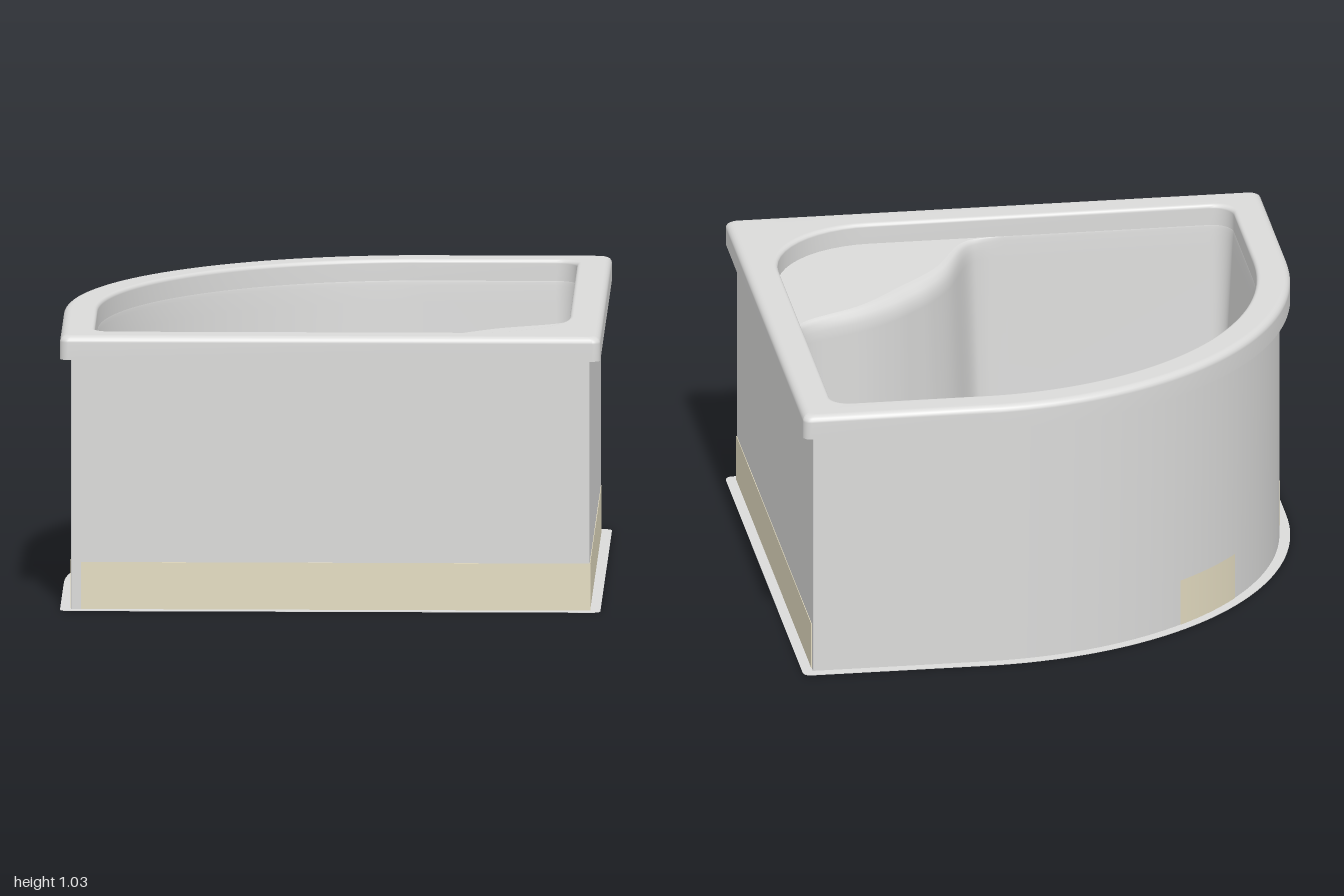
import * as THREE from 'three';

const ARC = 0.315;    // centre of the big quadrant arc, in x and z
const INNER = 0.875;  // half width of the opening
const FLOOR = 0.2, SEAT = 0.95, RIM = 1.03;

// Points [x, z] on an arc, angles in degrees from +x towards +z
function arc(cx, cz, r, a0, a1, n) {
  return Array.from({ length: n + 1 }, (_, i) => {
    const a = THREE.MathUtils.degToRad(a0 + (a1 - a0) * i / n);
    return [cx + r * Math.cos(a), cz + r * Math.sin(a)];
  });
}

// Quadrant outline of half width h; frontRight is a corner radius or ready points
function outline(h, r, frontRight = r) {
  const c = h - r;
  const corner = Array.isArray(frontRight) ? frontRight
    : arc(h - frontRight, h - frontRight, frontRight, 0, 90, 12);
  return [
    ...arc(c, -c, r, -90, 0, 8),
    ...corner,
    ...arc(-c, c, r, 90, 180, 8),
    ...arc(ARC, ARC, ARC + h, 180, 270, 40),
  ];
}

// Seat front edge, mirrored about the diagonal
const half = [[INNER, -0.04], [0.864, 0.06], [0.805, 0.135], [0.6, 0.225], [0.475, 0.31]];
const edge = [...half, [0.39, 0.39], ...half.map(([x, z]) => [z, x]).reverse()];
const seatEdge = new THREE.SplineCurve(edge.map(p => new THREE.Vector2(...p))).getPoints(60);

// Seat edge moved towards the basin: by d at its ends, by dMid in the middle
function seatLine(d, dMid) {
  const last = seatEdge.length - 1;
  return seatEdge.map((p, i) => {
    const t = i === 0 ? new THREE.Vector2(0, 1) : i === last ? new THREE.Vector2(-1, 0)
      : seatEdge[i + 1].clone().sub(seatEdge[i - 1]).normalize();
    const o = THREE.MathUtils.lerp(d, dMid, Math.sin(Math.PI * i / last) ** 2);
    return [p.x - t.y * o, p.y + t.x * o];
  });
}

// Basin outline, d from the opening along the walls and dMid along the seat
const basinLoop = (d, dMid) => outline(INNER - d, Math.max(0.08 - d, 0.02), seatLine(d, dMid));

// Smooth skin through closed loops, given as [points, y]; a repeated loop makes a crease
function loft(levels) {
  const n = levels[0][0].length, pos = [], index = [];
  for (const [pts, y] of levels) for (const [x, z] of pts) pos.push(x, y, z);
  for (let k = 0; k < levels.length - 1; k++) {
    for (let i = 0; i < n; i++) {
      const a = k * n + i, b = k * n + (i + 1) % n;
      index.push(a, a + n, b, b, a + n, b + n);
    }
  }
  const g = new THREE.BufferGeometry();
  g.setAttribute('position', new THREE.Float32BufferAttribute(pos, 3));
  g.setIndex(index);
  g.computeVertexNormals();
  return g;
}

// Flat horizontal face at height y, facing up or down
function flat(pts, y, up = true, hole = null) {
  const s = up ? -1 : 1;
  const conv = list => list.map(([x, z]) => new THREE.Vector2(x, s * z));
  const shape = new THREE.Shape(conv(pts));
  if (hole) shape.holes.push(new THREE.Path(conv(hole)));
  return new THREE.ShapeGeometry(shape).rotateX(s * Math.PI / 2).translate(0, y, 0);
}

export function createModel() {
  const group = new THREE.Group();
  const acrylic = new THREE.MeshStandardMaterial({ color: 0xdadad9 });
  acrylic.name = 'greyAcrylic';
  const foam = new THREE.MeshStandardMaterial({ color: 0xe4dcc1 });
  foam.name = 'beigeBase';
  const add = (name, geometry, material) => {
    const m = new THREE.Mesh(geometry, material);
    m.name = name;
    group.add(m);
  };

  // Apron wall with the flat foot flange and the inner side of the foot
  const sharp = h => outline(h, 0.005);
  const foot = outline(1, 0.03);
  const inside = sharp(0.915), outside = sharp(0.96);
  add('apron', loft([
    [inside, 0.19], [inside, 0], [inside, 0], [foot, 0], [foot, 0],
    [foot, 0.002], [foot, 0.002], [outside, 0.002], [outside, 0.002], [outside, 0.945],
  ]), acrylic);

  // Rim: underside, skirt, rounded shoulder, flat top and inner lip
  const skirt = [outline(1, 0.03), 0.94];
  const rim = [[sharp(0.955), 0.94], skirt, skirt];
  for (let i = 0; i <= 5; i++) {
    const a = i / 5 * Math.PI / 2;
    rim.push([outline(1 - 0.03 * (1 - Math.cos(a)), 0.03), RIM - 0.025 * (1 - Math.sin(a))]);
  }
  for (let i = 0; i <= 4; i++) {
    const a = i / 4 * Math.PI / 2;
    rim.push([outline(INNER + 0.015 * (1 - Math.sin(a)), 0.08, 0.4), RIM - 0.015 * (1 - Math.cos(a))]);
  }
  rim.push([outline(INNER, 0.08, 0.4), SEAT]);
  add('rim', loft(rim), acrylic);

  // Corner seat
  const seatCorner = arc(INNER - 0.4, INNER - 0.4, 0.4, 0, 90, 12);
  add('seat', flat([...seatCorner, ...seatLine(0, -0.06).reverse()], SEAT), acrylic);

  // Basin wall: soft seat edge, slight taper, small fillet into the floor
  const profile = [[0, -0.06, SEAT], [0.001, -0.03, 0.945], [0.002, -0.005, 0.932],
    [0.004, 0.01, 0.905], [0.006, 0.015, 0.87], [0.036, 0.036, 0.31], [0.04, 0.04, 0.265],
    [0.049, 0.049, 0.228], [0.062, 0.062, 0.208], [0.08, 0.08, FLOOR], [0.09, 0.09, FLOOR]];
  add('basinWall', loft(profile.map(([d, dMid, y]) => [basinLoop(d, dMid), y])), acrylic);

  // Floor with drain recess
  const ring = r => arc(0.595, -0.6, r, 0, 352.5, 47);
  add('basinFloor', flat(basinLoop(0.09, 0.09), FLOOR, true, ring(0.092)), acrylic);
  add('drainRecess', loft([[ring(0.092), FLOOR], [ring(0.086), FLOOR - 0.002],
    [ring(0.077), FLOOR - 0.009], [ring(0.071), FLOOR - 0.02]]), acrylic);
  add('drainDisc', flat(ring(0.072), FLOOR - 0.02), foam);

  // Base panel seen from below
  add('basePanel', flat(sharp(0.92), 0.175, false), foam);

  // Thin base bands on the outside of the apron
  const H = 0.176;
  const band = (name, x, z, w, d) =>
    add(name, new THREE.BoxGeometry(w, H, d).translate(x, H / 2 + 0.002, z), foam);
  band('frontBand', 0.02, 0.959, 1.885, 0.006);
  band('rightBand', 0.959, 0.015, 0.006, 1.89);
  band('leftBand', -0.959, 0.58, 0.006, 0.72);
  const start = THREE.MathUtils.degToRad(217), sweep = THREE.MathUtils.degToRad(15);
  const radius = ARC + 0.962;
  add('curvedBand', new THREE.CylinderGeometry(radius, radius, H, 8, 1, true, start, sweep)
    .translate(ARC, H / 2 + 0.002, ARC), foam);

  return group;
}
